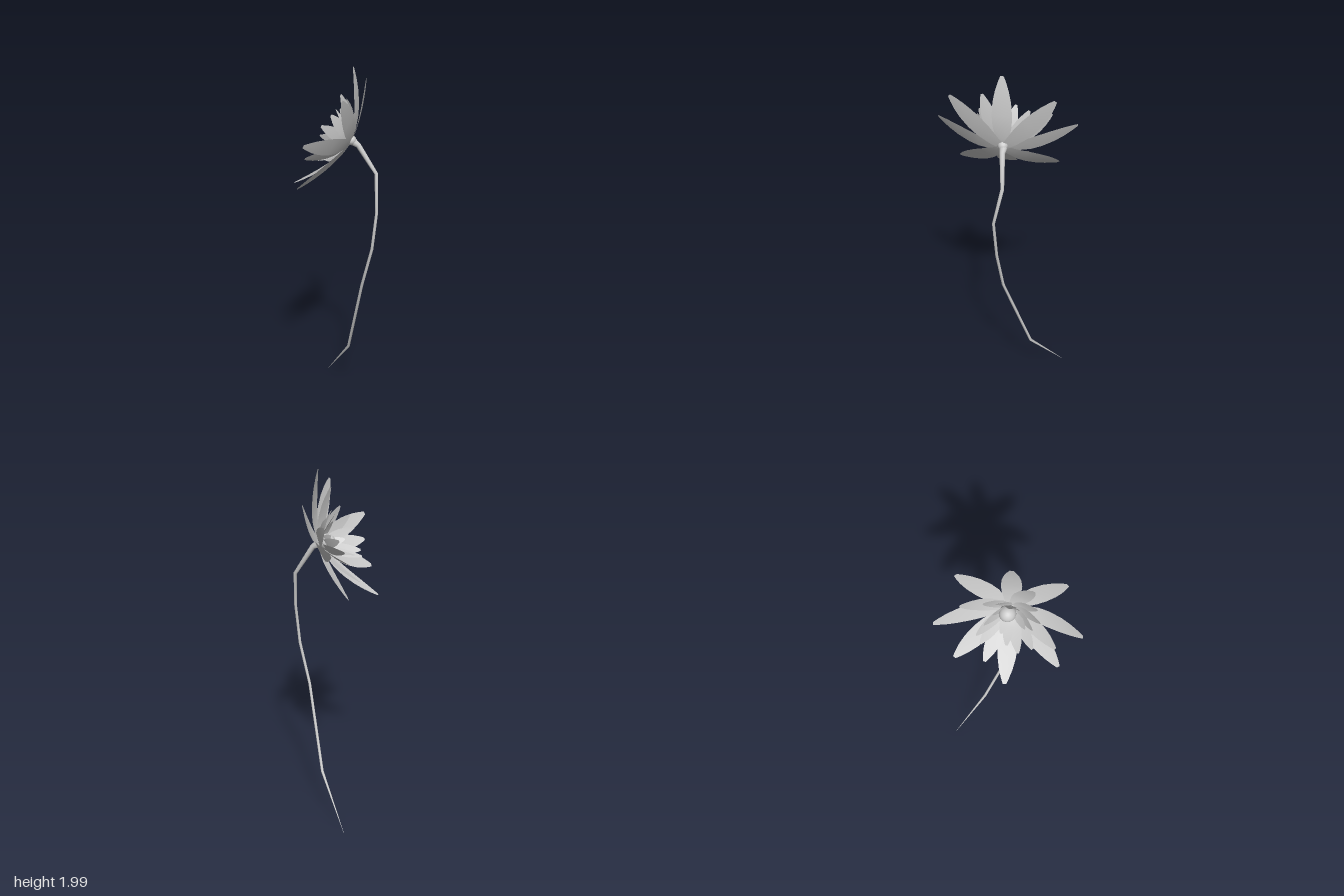
import * as THREE from 'three';

const material = new THREE.MeshStandardMaterial({ color: 0xcccccc, side: THREE.DoubleSide });

// Builds a smooth surface from rows of points with equal counts
function loft(rows) {
  const n = rows[0].length;
  const index = [];
  for (let i = 0; i < rows.length - 1; i++) {
    for (let j = 0; j < n - 1; j++) {
      const a = i * n + j, b = a + 1, c = a + n, d = c + 1;
      index.push(a, c, b, b, c, d);
    }
  }
  const geometry = new THREE.BufferGeometry().setFromPoints(rows.flat());
  geometry.setIndex(index);
  geometry.computeVertexNormals();
  return geometry;
}

// Petal outline: [position along the length, share of the half width]
const outline = [
  [0, 0.4], [0.15, 0.66], [0.35, 0.94], [0.5, 1], [0.68, 0.9], [0.82, 0.68], [0.93, 0.4], [1, 0.17],
];

// Petal pointing along +z, rising along +y, almost flat across
function petalGeometry({ length, rise, width, power }) {
  const start = 0.012;
  const rows = outline.map(([t, share]) => {
    const half = width * share;
    return [-1, 0, 1].map((s) => new THREE.Vector3(
      s * half,
      rise * Math.pow(t, power) + half * 0.04 * s * s,
      start + (length - start) * t,
    ));
  });
  return loft(rows);
}

// Tapering stem with a round section, mitred at each bend
function stemGeometry(stations, sides = 10) {
  const points = stations.map(([x, y, z]) => new THREE.Vector3(x, y, z));
  const side = new THREE.Vector3(1, 0, 0);
  const rows = points.map((p, i) => {
    const before = points[Math.max(i - 1, 0)];
    const after = points[Math.min(i + 1, points.length - 1)];
    const inDir = p.clone().sub(before).normalize();
    const outDir = after.clone().sub(p).normalize();
    const tangent = inDir.add(outDir).normalize();
    side.addScaledVector(tangent, -side.dot(tangent)).normalize();
    const up = new THREE.Vector3().crossVectors(tangent, side);
    const ring = [];
    for (let j = 0; j <= sides; j++) {
      const a = (j / sides) * Math.PI * 2;
      ring.push(p.clone()
        .addScaledVector(side, Math.cos(a) * stations[i][3])
        .addScaledVector(up, -Math.sin(a) * stations[i][3]));
    }
    return ring;
  });
  return loft(rows);
}

function addMesh(parent, name, geometry) {
  const mesh = new THREE.Mesh(geometry, material);
  mesh.name = name;
  parent.add(mesh);
  return mesh;
}

export function createModel() {
  const model = new THREE.Group();
  model.name = 'flower';

  // Stem: x, y, z, radius
  addMesh(model, 'stem', stemGeometry([
    [-0.168, 0.005, -0.325, 0.0005],
    [0.018, 0.28, -0.16, 0.008],
    [0.14, 0.76, -0.023, 0.008],
    [0.203, 1.0, -0.002, 0.008],
    [0.229, 1.22, 0.008, 0.008],
    [0.21, 1.425, -0.035, 0.01],
    [0.115, 1.58, -0.013, 0.015],
    [0.068, 1.609, -0.01, 0.026],
  ]));

  // Flower head: local y is the facing axis, local z points up the bloom
  const head = new THREE.Group();
  head.name = 'flowerHead';
  const axis = new THREE.Vector3(-0.89, 0.447, 0.07).normalize();
  const upward = new THREE.Vector3(0.447, 0.894, 0);
  upward.addScaledVector(axis, -upward.dot(axis)).normalize();
  const across = new THREE.Vector3().crossVectors(axis, upward);
  head.quaternion.setFromRotationMatrix(new THREE.Matrix4().makeBasis(across, axis, upward));
  head.position.set(0.075, 1.593, -0.008);
  model.add(head);

  // Rings of four petals from the outside in
  const rings = [
    { name: 'outerPetal', length: 0.378, rise: 0.112, width: 0.054, power: 1.45, turn: 46.5, lift: 0 },
    { name: 'raisedOuterPetal', length: 0.368, rise: 0.168, width: 0.052, power: 1.6, turn: 1.5, lift: 0.003 },
    { name: 'middlePetal', length: 0.265, rise: 0.145, width: 0.045, power: 1.5, turn: -23, lift: 0.006 },
    { name: 'innerPetal', length: 0.185, rise: 0.136, width: 0.036, power: 1.4, turn: 45, lift: 0.009 },
    { name: 'uprightPetal', length: 0.165, rise: 0.15, width: 0.034, power: 1.4, turn: -68, lift: 0.012 },
    { name: 'smallPetal', length: 0.12, rise: 0.135, width: 0.029, power: 1.4, turn: 0, lift: 0.015 },
    { name: 'heartPetal', length: 0.09, rise: 0.09, width: 0.025, power: 1.4, turn: -23, lift: 0.017 },
  ];
  for (const ring of rings) {
    const geometry = petalGeometry(ring);
    for (let i = 0; i < 4; i++) {
      const petal = addMesh(head, ring.name, geometry);
      petal.rotation.y = THREE.MathUtils.degToRad(ring.turn + i * 90);
      petal.position.y = ring.lift;
    }
  }

  // Round centre and the small swelling where the stem joins
  const centre = addMesh(head, 'flowerCentre', new THREE.SphereGeometry(0.044, 20, 14));
  centre.position.set(0.012, 0.046, 0.002);
  const base = addMesh(head, 'flowerBase', new THREE.SphereGeometry(0.027, 16, 12));
  base.position.set(0, 0.004, 0.013);

  return model;
}
